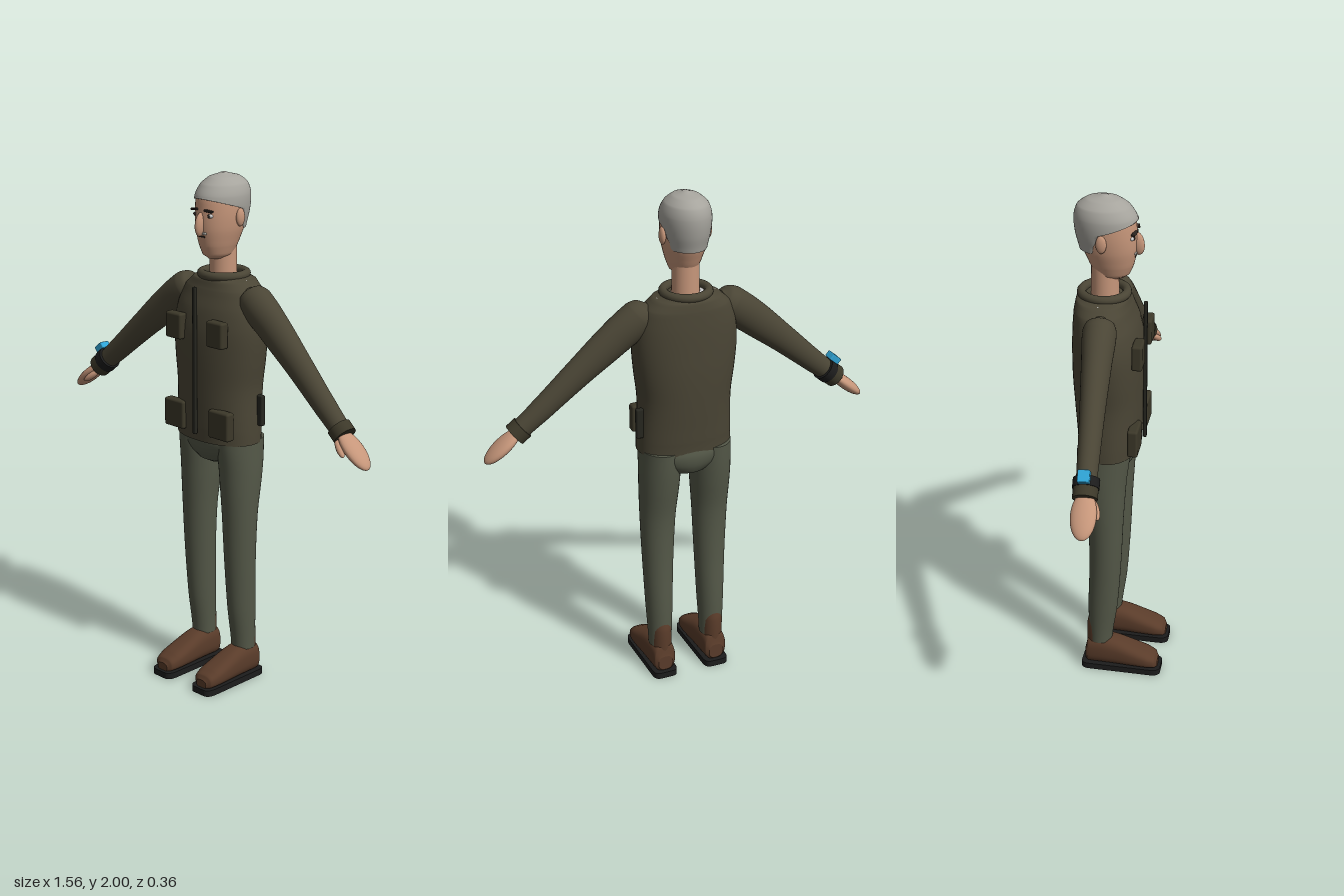
import * as THREE from 'three';
import { RoundedBoxGeometry } from 'three/addons/geometries/RoundedBoxGeometry.js';

const mat = (color) => new THREE.MeshStandardMaterial({ color });
const M = {
  jacket: mat(0x4a4535), trim: mat(0x3c3829), zip: mat(0x26261f), trousers: mat(0x545848),
  skin: mat(0xc6967a), boot: mat(0x5a3c2a), sole: mat(0x1c1c1c), hair: mat(0xa6a49d),
  blue: mat(0x2fa4d6), dark: mat(0x2a2420), white: mat(0xdddddd),
};

function add(parent, name, geometry, material, x = 0, y = 0, z = 0) {
  const m = new THREE.Mesh(geometry, material);
  m.name = name;
  m.position.set(x, y, z);
  parent.add(m);
  return m;
}

// Ellipsoid with the given half sizes
const blob = (rx, ry, rz) => new THREE.SphereGeometry(1, 24, 16).scale(rx, ry, rz);

// Cross-section from its height, half width, front z, back z and centre x
const sec = (y, rx, front, back, cx = 0) => [y, cx, (front + back) / 2, rx, (front - back) / 2];

// Smooth skin over elliptical sections [y, cx, cz, rx, rz], bottom to top
function loft(sections, power = 1, n = 36, sub = 5) {
  const rows = [];
  const last = sections.length - 1;
  for (let k = 0; k <= last * sub; k++) {
    const i = Math.min(Math.floor(k / sub), last - 1), t = k / sub - i;
    const p = [-1, 0, 1, 2].map((d) => sections[Math.max(0, Math.min(last, i + d))]);
    rows.push(p[1].map((b, c) => {
      if (c === 0) return b + (p[2][0] - b) * t;
      const m1 = (p[2][c] - p[0][c]) / 2, m2 = (p[3][c] - b) / 2, d = p[2][c] - b;
      return b + m1 * t + (3 * d - 2 * m1 - m2) * t * t + (m1 + m2 - 2 * d) * t * t * t;
    }));
  }
  const pos = [], index = [];
  const bend = (v) => Math.sign(v) * Math.pow(Math.abs(v), power);
  const ring = ([y, cx, cz, rx, rz]) => {
    for (let i = 0; i < n; i++) {
      const a = (i / n) * Math.PI * 2;
      pos.push(cx + rx * bend(Math.cos(a)), y, cz + rz * bend(Math.sin(a)));
    }
  };
  rows.forEach(ring);
  for (let j = 0; j < rows.length - 1; j++) {
    for (let i = 0; i < n; i++) {
      const a = j * n + i, b = j * n + (i + 1) % n;
      index.push(a, a + n, b, b, a + n, b + n);
    }
  }
  // End caps
  [rows[0], rows[rows.length - 1]].forEach((r, top) => {
    const base = pos.length / 3;
    ring(r);
    pos.push(r[1], r[0], r[2]);
    for (let i = 0; i < n; i++) {
      const a = base + i, b = base + (i + 1) % n;
      index.push(base + n, top ? b : a, top ? a : b);
    }
  });
  const g = new THREE.BufferGeometry();
  g.setAttribute('position', new THREE.Float32BufferAttribute(pos, 3));
  g.setIndex(index);
  g.computeVertexNormals();
  return g;
}

function buildHead(root) {
  const head = new THREE.Group();
  head.name = 'head';
  root.add(head);
  add(head, 'neck', new THREE.CylinderGeometry(0.05, 0.053, 0.17, 32), M.skin, 0, 1.66, -0.062);
  add(head, 'face', loft([
    sec(1.685, 0.03, 0.01, -0.08), sec(1.7, 0.05, 0.03, -0.1), sec(1.74, 0.065, 0.046, -0.12),
    sec(1.8, 0.081, 0.057, -0.145), sec(1.87, 0.087, 0.056, -0.155),
    sec(1.93, 0.08, 0.046, -0.15), sec(1.97, 0.05, 0, -0.12),
  ]), M.skin);

  // Hair cap: the lower rim rises from the nape over the ears to the brow
  const hair = loft([
    sec(1.79, 0.076, 0.04, -0.155), sec(1.86, 0.09, 0.06, -0.171), sec(1.92, 0.092, 0.057, -0.175),
    sec(1.96, 0.078, 0.032, -0.163), sec(1.985, 0.05, -0.003, -0.13), sec(2.0, 0.01, -0.05, -0.075),
  ], 1, 48, 8);
  const p = hair.attributes.position;
  for (let i = 0; i < p.count; i++) {
    const z = p.getZ(i);
    const rim = z > -0.07 ? 1.875 + (z + 0.07) * 0.3 : 1.795 + 0.08 * THREE.MathUtils.smoothstep(z, -0.1, -0.07);
    p.setY(i, Math.max(p.getY(i), rim));
  }
  hair.computeVertexNormals();
  add(head, 'hair', hair, M.hair);

  add(head, 'nose', blob(0.015, 0.045, 0.025), M.skin, 0, 1.82, 0.058).rotation.x = -0.15;
  add(head, 'moustache', new RoundedBoxGeometry(0.05, 0.01, 0.012, 2, 0.004), M.hair, 0, 1.787, 0.052);
  add(head, 'mouth', new RoundedBoxGeometry(0.035, 0.006, 0.01, 2, 0.003), M.dark, 0, 1.774, 0.05);
  for (const s of [-1, 1]) {
    add(head, 'ear', blob(0.012, 0.034, 0.02), M.skin, s * 0.09, 1.843, -0.06);
    add(head, 'eye', blob(0.014, 0.008, 0.008), M.white, s * 0.036, 1.853, 0.044);
    add(head, 'pupil', blob(0.006, 0.007, 0.005), M.dark, s * 0.036, 1.853, 0.05);
    const brow = add(head, 'eyebrow', new RoundedBoxGeometry(0.036, 0.008, 0.016, 2, 0.003), M.dark, s * 0.036, 1.872, 0.052);
    brow.rotation.set(0, s * 0.2, -s * 0.12);
  }
}

function buildJacket(root) {
  const jacket = new THREE.Group();
  jacket.name = 'jacket';
  root.add(jacket);
  add(jacket, 'torso', loft([
    sec(0.99, 0.187, 0.074, -0.158), sec(1.05, 0.186, 0.078, -0.163), sec(1.2, 0.182, 0.082, -0.174),
    sec(1.32, 0.196, 0.084, -0.18), sec(1.42, 0.203, 0.08, -0.18), sec(1.5, 0.194, 0.065, -0.178),
    sec(1.57, 0.168, 0.04, -0.173), sec(1.605, 0.13, 0.028, -0.166), sec(1.615, 0.1, 0.02, -0.155),
  ], 0.9, 48), M.jacket);
  add(jacket, 'shirtYoke', blob(0.125, 0.014, 0.06), M.white, 0, 1.604, -0.068);
  add(jacket, 'collar', new THREE.TorusGeometry(0.084, 0.017, 14, 48).rotateX(Math.PI / 2), M.jacket, 0, 1.621, -0.065);
  add(jacket, 'zip', new RoundedBoxGeometry(0.016, 0.57, 0.014, 2, 0.004), M.zip, 0, 1.305, 0.089);
  for (const s of [-1, 1]) {
    add(jacket, 'breastPocket', new RoundedBoxGeometry(0.082, 0.1, 0.04, 3, 0.009), M.trim, s * 0.109, 1.426, 0.08);
    add(jacket, 'lowerPocket', new RoundedBoxGeometry(0.104, 0.11, 0.04, 3, 0.009), M.trim, s * 0.119, 1.076, 0.068);
  }
  add(jacket, 'sidePocket', new RoundedBoxGeometry(0.03, 0.12, 0.022, 2, 0.006), M.zip, 0.19, 1.12, -0.072);
}

function buildArm(root, s) {
  const arm = new THREE.Group();
  arm.name = s > 0 ? 'leftArm' : 'rightArm';
  arm.position.set(s * 0.18, 1.54, -0.05);
  const dir = new THREE.Vector3(s * 0.465, -0.39, 0.035).normalize();
  arm.quaternion.setFromUnitVectors(new THREE.Vector3(0, -1, 0), dir);
  root.add(arm);
  add(arm, 'sleeve', loft([
    [-0.61, 0, 0, 0.038, 0.036], [-0.5, 0, 0, 0.044, 0.039], [-0.3, s * 0.004, 0, 0.055, 0.046],
    [-0.12, s * 0.004, 0, 0.067, 0.055], [0, 0, 0, 0.068, 0.062], [0.035, 0, 0, 0.052, 0.05], [0.055, 0, 0, 0.02, 0.02],
  ]), M.jacket);
  add(arm, 'cuff', new THREE.CylinderGeometry(0.045, 0.045, 0.042, 32), M.trim, 0, -0.607, 0);
  add(arm, 'hand', blob(0.024, 0.09, 0.047), M.skin, 0, -0.69, 0);
  add(arm, 'thumb', blob(0.013, 0.04, 0.015), M.skin, -s * 0.022, -0.66, 0.036).rotation.x = -0.3;
  if (s < 0) {
    add(arm, 'watchBand', new THREE.CylinderGeometry(0.048, 0.048, 0.036, 32), M.sole, 0, -0.572, 0);
    add(arm, 'watchFace', new RoundedBoxGeometry(0.026, 0.046, 0.044, 2, 0.004), M.blue, s * 0.055, -0.565, 0);
  }
}

function buildLeg(root, s) {
  const leg = new THREE.Group();
  leg.name = s > 0 ? 'leftLeg' : 'rightLeg';
  root.add(leg);
  const c = s * 0.11;
  add(leg, 'trouserLeg', loft([
    sec(0.13, 0.046, -0.02, -0.113, c), sec(0.3, 0.053, 0.002, -0.115, c), sec(0.5, 0.061, 0.016, -0.109, c),
    sec(0.7, 0.07, 0.025, -0.115, s * 0.109), sec(0.87, 0.079, 0.036, -0.143, s * 0.105), sec(1.0, 0.08, 0.05, -0.155, s * 0.102),
  ]), M.trousers);
  add(leg, 'bootShaft', loft([
    sec(0.08, 0.042, -0.02, -0.12, c), sec(0.2, 0.04, -0.03, -0.121, c), sec(0.265, 0.032, -0.03, -0.108, c),
  ]), M.boot);
  // Shoe runs from heel to toe; each section is width, top and bottom
  const shoe = loft([
    [-0.126, 0.03, 0.09, 0.03], [-0.116, 0.044, 0.135, 0.02], [-0.06, 0.05, 0.147, 0.02], [0, 0.052, 0.137, 0.02],
    [0.06, 0.054, 0.115, 0.02], [0.12, 0.053, 0.092, 0.02], [0.155, 0.044, 0.074, 0.02], [0.167, 0.026, 0.056, 0.022],
  ].map(([z, rx, top, low]) => sec(z, rx, -low, -top, c)), 0.75);
  add(leg, 'shoe', shoe.rotateX(Math.PI / 2), M.boot);
  // Rounded sole
  const o = new THREE.Shape();
  o.moveTo(-0.03, -0.18).lineTo(0.03, -0.18).quadraticCurveTo(0.053, -0.175, 0.053, -0.14);
  o.lineTo(0.05, 0.11).quadraticCurveTo(0.048, 0.14, 0.025, 0.14);
  o.lineTo(-0.025, 0.14).quadraticCurveTo(-0.048, 0.14, -0.05, 0.11);
  o.lineTo(-0.053, -0.14).quadraticCurveTo(-0.053, -0.175, -0.03, -0.18);
  const sole = new THREE.ExtrudeGeometry(o, { depth: 0.025, bevelEnabled: false }).rotateX(-Math.PI / 2);
  sole.scale(1, 1, -1).scale(1, 1, -1);
  add(leg, 'sole', sole, M.sole, c, 0, 0);
}

export function createModel() {
  const root = new THREE.Group();
  root.name = 'standingMan';
  buildHead(root);
  buildJacket(root);
  add(root, 'hips', loft([
    sec(0.89, 0.04, 0, -0.11), sec(0.905, 0.09, 0.03, -0.14), sec(0.94, 0.145, 0.052, -0.158),
    sec(0.98, 0.178, 0.062, -0.163), sec(1.02, 0.176, 0.062, -0.155),
  ]), M.trousers);
  for (const s of [-1, 1]) {
    buildArm(root, s);
    buildLeg(root, s);
  }
  return root;
}
